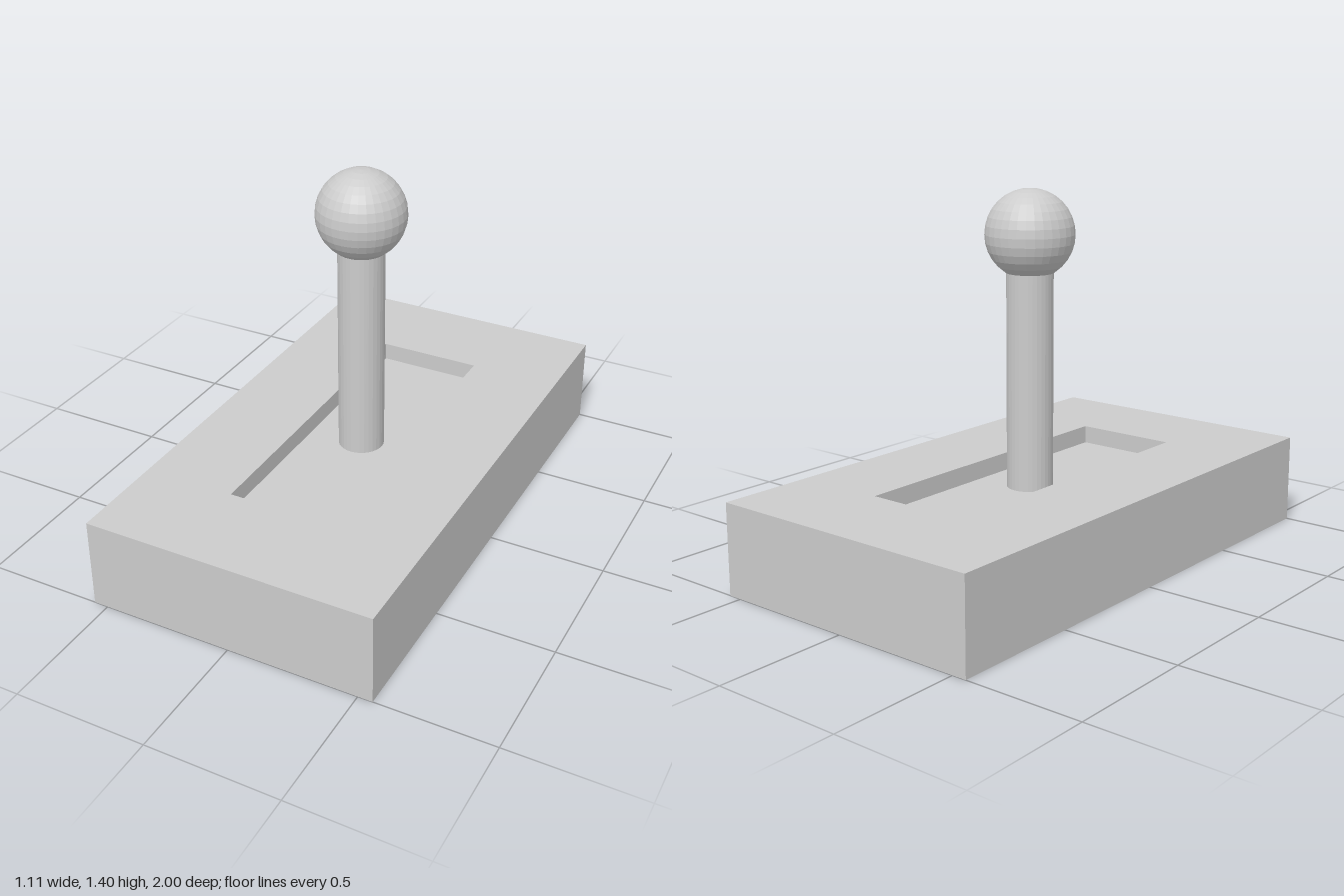
import * as THREE from 'three';
import { mergeGeometries } from 'three/addons/utils/BufferGeometryUtils.js';

const W = 1.11, L = 2, H = 0.345;             // base block
const SLOT_W = 0.405, SLOT_L = 1.245, FLOOR = 0.275; // recessed slot

const rectangle = (PathType, w, l) => new PathType([
  [-w / 2, -l / 2], [w / 2, -l / 2], [w / 2, l / 2], [-w / 2, l / 2],
].map(([x, y]) => new THREE.Vector2(x, y)));

// Four upright walls around a rectangle, facing outward or inward
function walls(w, l, y0, y1, inward) {
  return [0, 1, 2, 3].map((i) => {
    const [width, dist] = i % 2 ? [l, w / 2] : [w, l / 2];
    const wall = new THREE.PlaneGeometry(width, y1 - y0);
    if (inward) wall.rotateY(Math.PI);
    return wall.translate(0, (y0 + y1) / 2, dist).rotateY(i * Math.PI / 2);
  });
}

// One clean skin: rim, outer walls, slot walls, slot floor and underside
function baseGeometry() {
  const rimShape = rectangle(THREE.Shape, W, L);
  rimShape.holes.push(rectangle(THREE.Path, SLOT_W, SLOT_L));
  const rim = new THREE.ShapeGeometry(rimShape).rotateX(-Math.PI / 2).translate(0, H, 0);
  const floor = new THREE.PlaneGeometry(SLOT_W, SLOT_L).rotateX(-Math.PI / 2).translate(0, FLOOR, 0);
  const underside = new THREE.PlaneGeometry(W, L).rotateX(Math.PI / 2);
  return mergeGeometries([
    rim, floor, underside,
    ...walls(W, L, 0, H, false),
    ...walls(SLOT_W, SLOT_L, FLOOR, H, true),
  ]);
}

export function createModel() {
  const group = new THREE.Group();
  group.name = 'leverSwitch';
  const material = new THREE.MeshStandardMaterial({ color: 0xcccccc, flatShading: true });
  const add = (name, geometry, y = 0) => {
    const mesh = new THREE.Mesh(geometry, material);
    mesh.name = name;
    mesh.position.y = y;
    group.add(mesh);
  };

  add('base', baseGeometry());

  // Stick from the slot floor up into the knob
  const stickTop = 1.1;
  add('stick', new THREE.CylinderGeometry(0.0875, 0.0875, stickTop - FLOOR, 32, 1, true), (stickTop + FLOOR) / 2);

  add('knob', new THREE.SphereGeometry(0.167, 32, 16), 1.23);
  return group;
}
